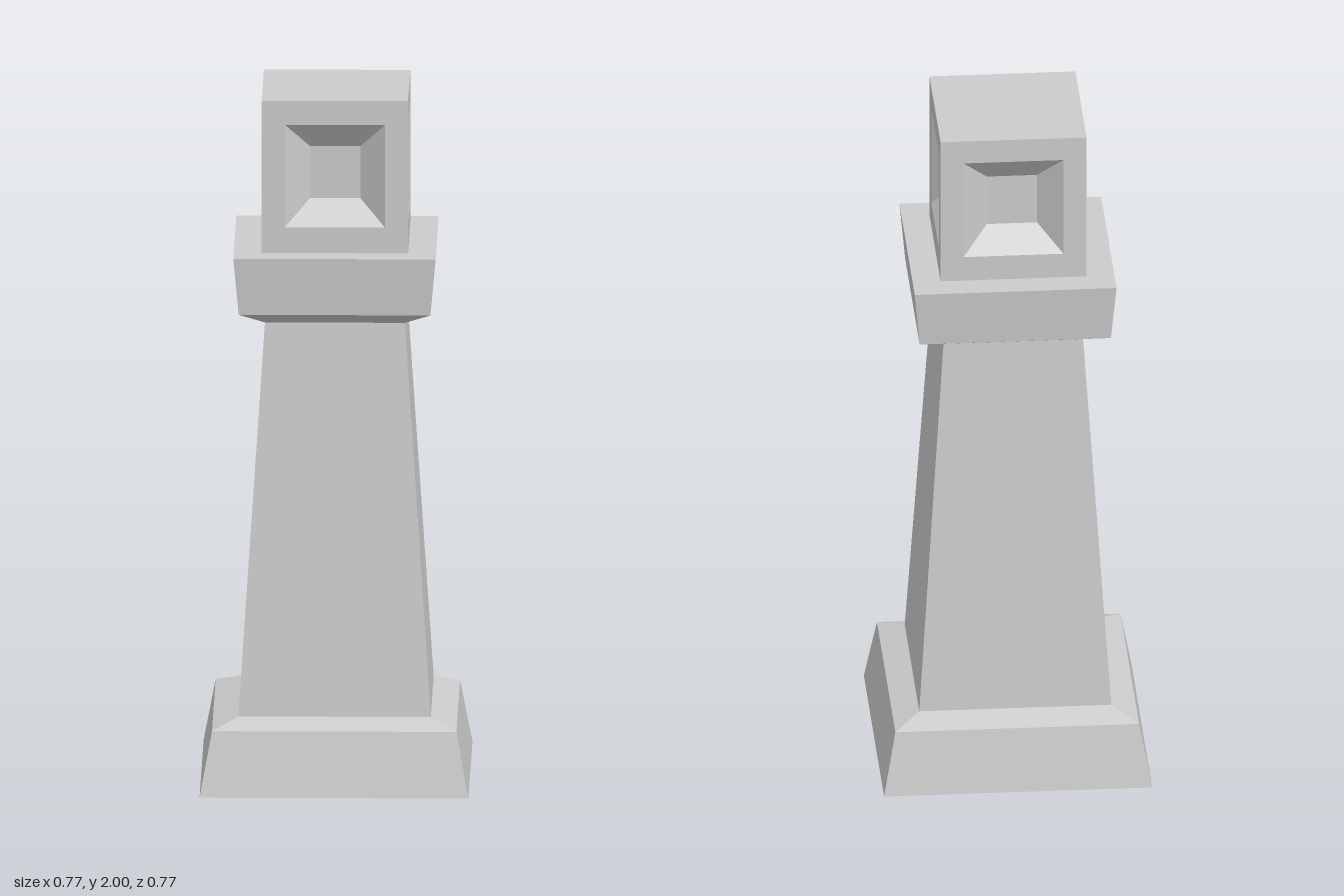
import * as THREE from 'three';

const material = new THREE.MeshStandardMaterial({ color: 0xcccccc, flatShading: true });

function addMesh(parent, name, geometry) {
  const mesh = new THREE.Mesh(geometry, material);
  mesh.name = name;
  parent.add(mesh);
  return mesh;
}

// Square stack turned from [half width, height] pairs, bottom to top
function squareStack(profile) {
  const points = profile.map(([half, y]) => new THREE.Vector2(half * Math.SQRT2, y));
  const geometry = new THREE.LatheGeometry(points, 4, Math.PI / 4).toNonIndexed();
  geometry.computeVertexNormals();
  return geometry;
}

// Panel facing +z through rectangular rings [half width, bottom, top, z], closed at the last ring
function steppedPanel(rings) {
  const corners = rings.map(([w, y0, y1, z]) => [[-w, y0, z], [w, y0, z], [w, y1, z], [-w, y1, z]]);
  const positions = [];
  const quad = (a, b, c, d) => positions.push(...a, ...b, ...c, ...a, ...c, ...d);
  for (let r = 0; r < corners.length - 1; r++) {
    const outer = corners[r], inner = corners[r + 1];
    for (let i = 0; i < 4; i++) {
      const j = (i + 1) % 4;
      quad(outer[i], outer[j], inner[j], inner[i]);
    }
  }
  quad(...corners[corners.length - 1]);
  const geometry = new THREE.BufferGeometry();
  geometry.setAttribute('position', new THREE.Float32BufferAttribute(positions, 3));
  geometry.computeVertexNormals();
  return geometry;
}

export function createModel() {
  const model = new THREE.Group();
  model.name = 'lighthouse';

  // Sloped plinth, tapering tower and flared gallery
  addMesh(model, 'base', squareStack([[0, 0], [0.384, 0], [0.349, 0.187], [0.275, 0.214], [0, 0.214]]));
  addMesh(model, 'tower', squareStack([[0.275, 0.214], [0.2, 1.35]]));
  addMesh(model, 'gallery', squareStack([[0, 1.35], [0.2, 1.35], [0.274, 1.388], [0.289, 1.555], [0, 1.555]]));

  // Lantern room: four sides with splayed window recesses under a flat roof
  const half = 0.209;
  const lantern = new THREE.Group();
  lantern.name = 'lantern';
  model.add(lantern);
  const side = steppedPanel([
    [half, 1.555, 2, half],
    [0.143, 1.63, 1.93, half],
    [0.072, 1.703, 1.855, half - 0.06],
  ]);
  ['front', 'left', 'back', 'right'].forEach((name, i) => {
    addMesh(lantern, `${name}Window`, side).rotation.y = i * Math.PI / 2;
  });
  const roof = new THREE.PlaneGeometry(half * 2, half * 2).rotateX(-Math.PI / 2);
  addMesh(lantern, 'roof', roof).position.y = 2;

  return model;
}
